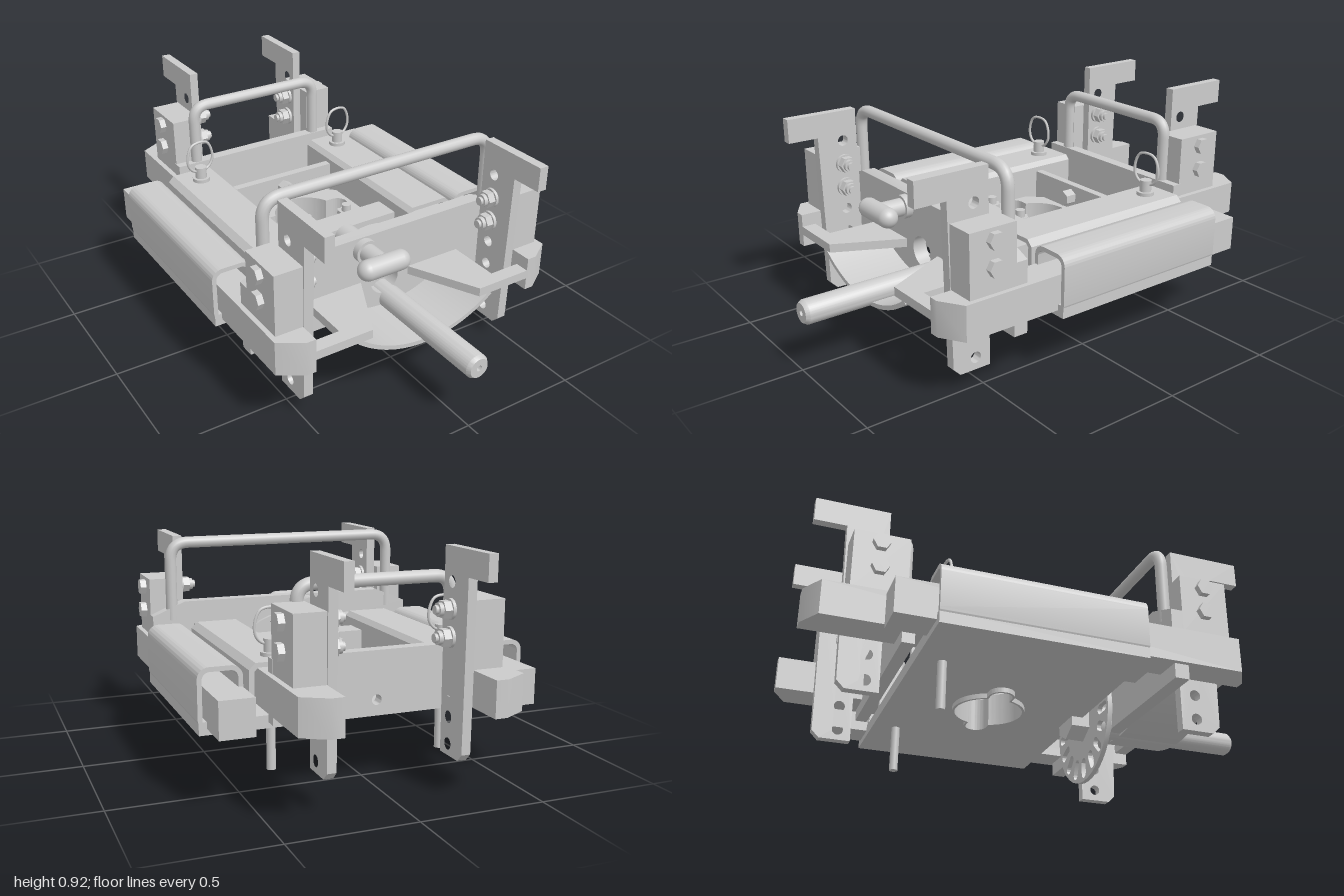
import * as THREE from 'three';
import { toCreasedNormals } from 'three/addons/utils/BufferGeometryUtils.js';

export function createModel() {
  const root = new THREE.Group();
  const mat = new THREE.MeshStandardMaterial({ color: 0xcccccc });

  const add = (name, geo) => {
    const m = new THREE.Mesh(geo, mat);
    m.name = name;
    root.add(m);
    return m;
  };
  const box = (name, xa, xb, y0, y1, z0, z1) => add(name,
    new THREE.BoxGeometry(Math.abs(xb - xa), y1 - y0, z1 - z0)
      .translate((xa + xb) / 2, (y0 + y1) / 2, (z0 + z1) / 2));
  const poly = pts => new THREE.Shape(pts.map(p => new THREE.Vector2(p[0], p[1])));
  const hole = (x, y, r) => new THREE.Path().absarc(x, y, r, 0, Math.PI * 2, true);
  const extrude = (shape, depth) => toCreasedNormals(new THREE.ExtrudeGeometry(shape,
    { depth, bevelEnabled: false, curveSegments: 20 }), 0.6);
  // extrusions along z, along y (outline in x,z) and along x (outline in z,y)
  const exZ = (name, shape, z0, z1) => add(name, extrude(shape, z1 - z0).translate(0, 0, z0));
  const exY = (name, shape, y0, y1) => add(name, extrude(shape, y1 - y0).rotateX(Math.PI / 2).translate(0, y1, 0));
  const exX = (name, shape, x0, x1) => add(name, extrude(shape, x1 - x0).rotateY(-Math.PI / 2).translate(x1, 0, 0));
  // cylinder or prism from a to b along one axis, centred at the other two coordinates
  const rod = (name, axis, a, b, p, q, r, sides = 28) => {
    const g = new THREE.CylinderGeometry(r, r, Math.abs(b - a), sides);
    const c = (a + b) / 2;
    if (axis === 'x') g.rotateZ(Math.PI / 2).translate(c, p, q);
    else if (axis === 'y') g.translate(p, c, q);
    else g.rotateX(Math.PI / 2).translate(p, q, c);
    return add(name, sides < 9 ? toCreasedNormals(g, 0.5) : g);
  };
  const roundRect = (x0, x1, y0, y1, r, T = THREE.Shape) => {
    const s = new T();
    s.absarc(x1 - r, y1 - r, r, 0, Math.PI / 2);
    s.absarc(x0 + r, y1 - r, r, Math.PI / 2, Math.PI);
    s.absarc(x0 + r, y0 + r, r, Math.PI, Math.PI * 1.5);
    s.absarc(x1 - r, y0 + r, r, Math.PI * 1.5, Math.PI * 2);
    s.closePath();
    return s;
  };
  // round opening with an ear on each side
  const keyhole = (r, w, reach, zc, T) => {
    const p = new T(), a = Math.asin(w / r);
    p.absarc(0, zc, r, a, Math.PI - a);
    p.absarc(-reach + w, zc, w, Math.PI / 2, Math.PI * 1.5);
    p.absarc(0, zc, r, Math.PI + a, Math.PI * 2 - a);
    p.absarc(reach - w, zc, w, -Math.PI / 2, Math.PI / 2);
    p.closePath();
    return p;
  };
  // bent tube carrying handle
  const handle = (name, hw, y0, y1, z, r, bend) => {
    const v = (x, y) => new THREE.Vector3(x, y, z);
    const path = new THREE.CurvePath();
    path.add(new THREE.LineCurve3(v(-hw, y0), v(-hw, y1 - bend)));
    path.add(new THREE.QuadraticBezierCurve3(v(-hw, y1 - bend), v(-hw, y1), v(-hw + bend, y1)));
    path.add(new THREE.LineCurve3(v(-hw + bend, y1), v(hw - bend, y1)));
    path.add(new THREE.QuadraticBezierCurve3(v(hw - bend, y1), v(hw, y1), v(hw, y1 - bend)));
    path.add(new THREE.LineCurve3(v(hw, y1 - bend), v(hw, y0)));
    add(name, new THREE.TubeGeometry(path, 120, r, 14));
  };

  // base plate and sliding centre plate, both with the keyhole opening
  const base = poly([[-0.665, -0.565], [0.665, -0.565], [0.665, 0.25], [-0.665, 0.25]]);
  base.holes.push(keyhole(0.14, 0.045, 0.21, -0.16, THREE.Path));
  exY('basePlate', base, 0.26, 0.31);
  const slide = poly([[-0.25, -0.3], [-0.19, -0.36], [0.19, -0.36], [0.25, -0.3], [0.25, 0.05], [-0.25, 0.05]]);
  slide.holes.push(keyhole(0.15, 0.053, 0.22, -0.16, THREE.Path));
  exY('centrePlate', slide, 0.31, 0.36);
  const lip = keyhole(0.15, 0.053, 0.22, -0.16, THREE.Shape);
  lip.holes.push(keyhole(0.14, 0.045, 0.21, -0.16, THREE.Path));
  exY('openingLip', lip, 0.24, 0.38);

  // centre clamp
  box('rearStopBar', -0.255, 0.255, 0.31, 0.47, -0.4, -0.365);
  rod('stopScrew', 'z', -0.43, -0.32, 0, 0.42, 0.025);
  rod('stopScrewHead', 'z', -0.36, -0.31, 0, 0.42, 0.035, 6);
  box('clampBlock', -0.245, 0.245, 0.31, 0.46, 0.05, 0.165);
  box('clampFoot', -0.16, 0.16, 0.31, 0.4, 0.165, 0.235);
  for (const s of [1, -1]) {
    rod('clampBolt', 'y', 0.36, 0.44, s * 0.1, 0.01, 0.037, 6);
    rod('clampBoltTip', 'y', 0.44, 0.47, s * 0.1, 0.01, 0.02);
    box('clampEar', s * 0.065, s * 0.135, 0.36, 0.39, -0.02, 0.05);
  }

  // front cross beam
  const beam = poly([[-0.615, 0.225], [0.615, 0.225], [0.615, 0.52], [0.47, 0.58], [-0.47, 0.58], [-0.615, 0.52]]);
  beam.holes.push(hole(0, 0.355, 0.065));
  exZ('frontCrossBeam', beam, 0.38, 0.44);
  handle('frontHandle', 0.525, 0.5, 0.842, 0.4, 0.025, 0.08);

  // curved tray under the shaft
  const tray = new THREE.Shape();
  tray.absarc(0.005, 0.726, 0.51, -Math.PI / 2 - 0.67, -Math.PI / 2 + 0.67, false);
  tray.absarc(0.005, 0.726, 0.492, -Math.PI / 2 + 0.67, -Math.PI / 2 - 0.67, true);
  exZ('curvedTray', tray, 0.44, 0.72);

  // rear cross plate
  const rearPlate = poly([[-0.41, 0.29], [0.41, 0.29], [0.41, 0.535], [-0.41, 0.535]]);
  rearPlate.holes.push(hole(0, 0.345, 0.02));
  exZ('rearCrossPlate', rearPlate, -0.635, -0.585);
  handle('rearHandle', 0.31, 0.5, 0.795, -0.612, 0.025, 0.07);

  // slotted index disc
  const cx = 0.028, cy = 0.26;
  const disc = new THREE.Shape().absarc(cx, cy, 0.257, 0, Math.PI * 2);
  for (let i = 0; i < 16; i++) {
    const a = i * Math.PI / 8, c = Math.cos(a), n = Math.sin(a), slot = new THREE.Path();
    slot.absarc(cx + c * 0.222, cy + n * 0.222, 0.021, a - Math.PI / 2, a + Math.PI / 2);
    slot.absarc(cx + c * 0.178, cy + n * 0.178, 0.021, a + Math.PI / 2, a + Math.PI * 1.5);
    slot.closePath();
    disc.holes.push(slot);
  }
  exZ('indexDisc', disc, 0.28, 0.3);
  rod('discNut', 'z', 0.2, 0.28, cx, cy, 0.08, 6);
  rod('discCollar', 'z', 0.3, 0.38, cx, cy, 0.085);

  // drive shaft with a chamfered end and centre hole
  const prof = [[0, 0.2], [0.05, 0.2], [0.05, 0.985], [0.04, 1], [0.012, 1], [0.01, 0.98], [0, 0.98]];
  add('driveShaft', toCreasedNormals(new THREE.LatheGeometry(prof.map(p => new THREE.Vector2(p[0], p[1])), 32)
    .rotateX(Math.PI / 2).translate(cx, cy, 0), 0.6));

  // T-shaped locking knob
  rod('knobBoss', 'z', 0.31, 0.47, -0.105, 0.525, 0.05);
  rod('knobStem', 'z', 0.46, 0.58, -0.105, 0.525, 0.038);
  add('knobGrip', new THREE.CapsuleGeometry(0.042, 0.146, 10, 24).rotateZ(Math.PI / 2).translate(-0.105, 0.525, 0.575));

  for (const s of [1, -1]) {
    const sh = pts => poly(pts.map(([x, y]) => [s * x, y]));
    const span = (a, b) => s > 0 ? [a, b] : [-b, -a];

    // sliding rails with chamfered ends
    exY('frontRail', sh([[0.5, -0.72], [0.635, -0.72], [0.635, 0.665], [0.54, 0.725], [0.5, 0.725]]), 0.285, 0.428);
    exY('rearRail', sh([[0.285, 0.44], [0.43, 0.44], [0.43, -0.945], [0.335, -1], [0.285, -1]]), 0.34, 0.48);

    // covers bent around the rails
    const [o0, o1] = span(0.497, 0.668);
    const outer = roundRect(o0, o1, 0.275, 0.51, 0.045);
    outer.holes.push(roundRect(o0 + 0.018, o1 - 0.018, 0.284, 0.492, 0.028, THREE.Path));
    exZ('outerRailCover', outer, -0.565, 0.25);
    exZ('innerRailCover', sh([[0.255, 0.31], [0.28, 0.31], [0.28, 0.492], [0.44, 0.492], [0.455, 0.477], [0.455, 0.31],
      [0.475, 0.31], [0.475, 0.485], [0.45, 0.51], [0.275, 0.51], [0.255, 0.49]]), -0.565, 0.25);

    // notched gusset plate
    exY('gussetPlate', sh([[0.115, 0.44], [0.365, 0.44], [0.365, 0.665], [0.5, 0.665], [0.5, 0.725], [0.255, 0.725]]), 0.338, 0.375);

    // upright hooks: front pair opens forward, rear pair opens backward
    const front = poly([[0.485, 0.07], [0.6, 0.07], [0.63, 0.1], [0.645, 0.765], [0.775, 0.765], [0.775, 0.865], [0.465, 0.865], [0.465, 0.07]]);
    for (const y of [0.735, 0.43, 0.325, 0.22, 0.12]) front.holes.push(hole(0.53, y, 0.023));
    exX('frontHook', front, ...span(0.457, 0.497));
    const rear = poly([[-0.68, 0.13], [-0.81, 0.13], [-0.84, 0.16], [-0.85, 0.82], [-0.98, 0.82], [-0.98, 0.92], [-0.68, 0.92]]);
    for (const y of [0.79, 0.48, 0.38, 0.28, 0.175]) rear.holes.push(hole(-0.735, y, 0.023));
    exX('rearHook', rear, ...span(0.248, 0.285));

    // clamping blocks
    box('frontBlock', s * 0.497, s * 0.615, 0.428, 0.68, 0.43, 0.635);
    box('rearBlock', s * 0.285, s * 0.408, 0.48, 0.735, -0.84, -0.62);

    // bolts with heads, washers and nuts
    for (const [xi, xo, z, ys] of [[0.457, 0.615, 0.53, [0.53, 0.635]], [0.248, 0.408, -0.735, [0.585, 0.69]]])
      for (const y of ys) {
        rod('boltShank', 'x', s * (xi - 0.07), s * xo, y, z, 0.017);
        rod('boltHead', 'x', s * xo, s * (xo + 0.026), y, z, 0.035, 6);
        rod('washer', 'x', s * (xi - 0.012), s * xi, y, z, 0.04);
        rod('nut', 'x', s * (xi - 0.042), s * (xi - 0.012), y, z, 0.036, 6);
        rod('nutCollar', 'x', s * (xi - 0.058), s * (xi - 0.042), y, z, 0.026);
      }

    // locking pin with pull ring
    rod('lockPin', 'y', 0.065, 0.56, s * 0.36, -0.465, 0.018);
    rod('pinCollar', 'y', 0.505, 0.525, s * 0.36, -0.465, 0.038);
    rod('pinHead', 'y', 0.525, 0.575, s * 0.36, -0.465, 0.025);
    const ring = [[-0.03, 0.56], [-0.058, 0.59], [-0.06, 0.64], [-0.035, 0.685], [0.035, 0.685], [0.06, 0.64], [0.058, 0.59], [0.03, 0.56]]
      .map(([x, y]) => new THREE.Vector3(s * 0.36 + x, y, -0.465 - x * 0.1));
    add('pullRing', new THREE.TubeGeometry(new THREE.CatmullRomCurve3(ring, true), 48, 0.006, 8, true));
  }
  return root;
}
